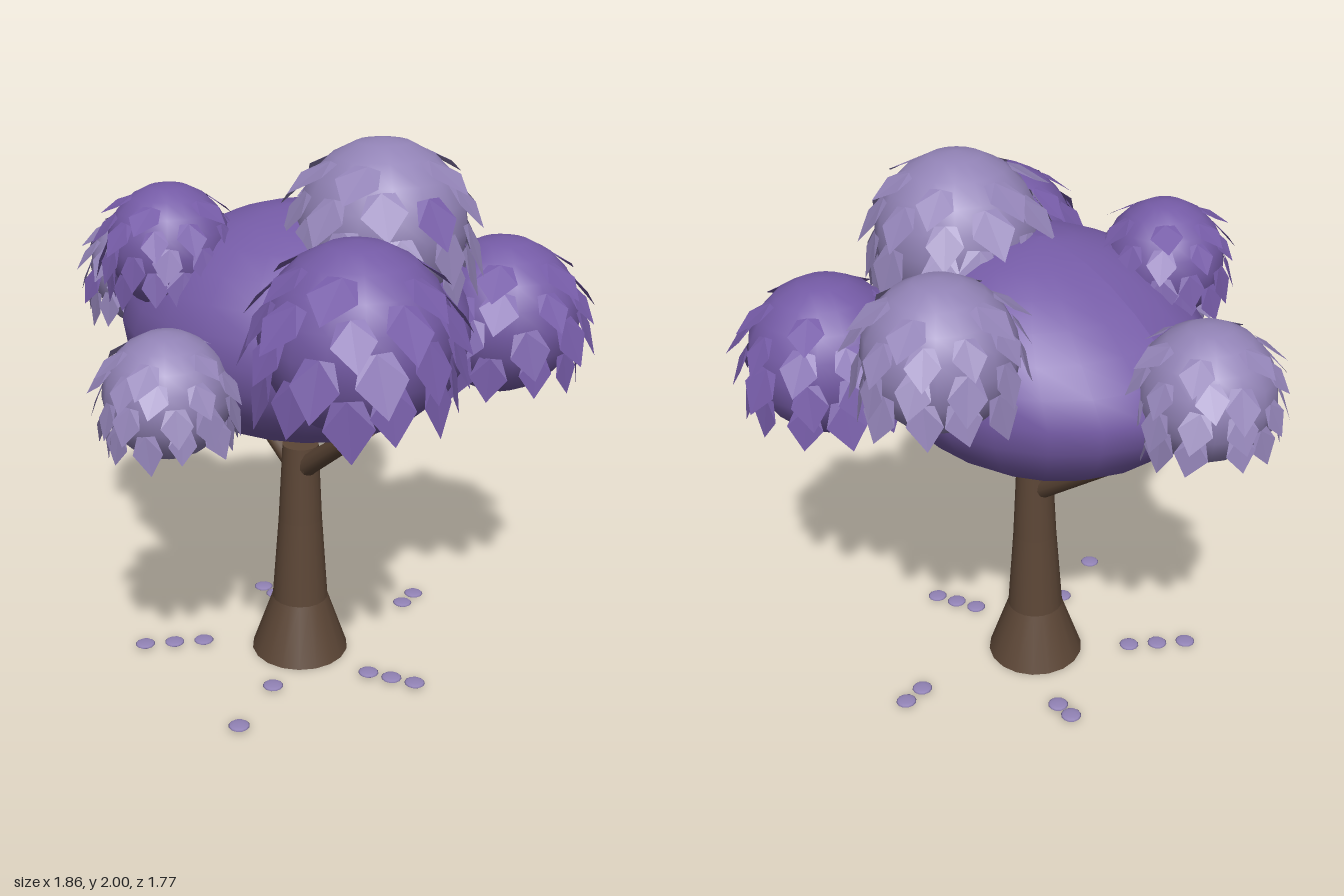
import * as THREE from 'three';

const mat = (name, color, side = THREE.FrontSide) => {
  const m = new THREE.MeshStandardMaterial({ color, side });
  m.name = name;
  return m;
};

// small seeded random generator, -1..1
function seeded(seed) {
  let s = seed * 7919 + 13;
  return () => {
    s = (s * 16807) % 2147483647;
    return (s / 2147483647) * 2 - 1;
  };
}

// Pushes one folded, pointed petal, rooted on a sphere at polar angle theta
function addPetal(out, r, theta, phi, flare, twist, scale) {
  const n = new THREE.Vector3().setFromSphericalCoords(1, theta, phi);
  const down = new THREE.Vector3().setFromSphericalCoords(1, theta + Math.PI / 2, phi);
  const dir = down.applyAxisAngle(n, twist).addScaledVector(n, flare).normalize();
  const across = new THREE.Vector3().crossVectors(dir, n).normalize();
  const lift = new THREE.Vector3().crossVectors(across, dir).normalize();
  const len = 0.58 * r * scale;
  const point = (u, v, h) => n.clone().multiplyScalar(0.98 * r)
    .addScaledVector(across, u * r * scale)
    .addScaledVector(dir, v * len)
    .addScaledVector(lift, h * r);
  const root = point(0, 0, 0.02);
  const tip = point(0, 1, -0.04);
  const rim = [point(-0.14, 0, 0), point(-0.24, 0.45, 0), tip, point(0.24, 0.45, 0), point(0.14, 0, 0)];
  for (let i = 0; i < rim.length - 1; i++) {
    for (const p of [root, rim[i], rim[i + 1]]) out.push(p.x, p.y, p.z);
  }
}

function petalMesh(positions, material, name) {
  const geo = new THREE.BufferGeometry();
  geo.setAttribute('position', new THREE.Float32BufferAttribute(positions, 3));
  geo.computeVertexNormals();
  const mesh = new THREE.Mesh(geo, material);
  mesh.name = name;
  return mesh;
}

// Petal rows: polar angle in degrees, count, outward flare
const ROWS = [[40, 6, 0.2], [61, 10, 0.24], [84, 11, 0.34], [106, 12, 0.58]];

// Round blossom cluster with drooping petals; accent = [row, index] of an odd-coloured petal
function blossom(r, ballMat, petalMat, seed, accentMat, accent) {
  const group = new THREE.Group();
  const rnd = seeded(seed);
  const ball = new THREE.Mesh(new THREE.SphereGeometry(r, 16, 10), ballMat);
  ball.name = 'blossomBall';
  group.add(ball);

  const main = [], odd = [];
  ROWS.forEach(([deg, count, flare], row) => {
    for (let i = 0; i < count; i++) {
      const phase = row % 2 ? 0 : 0.5;
      const phi = ((i + phase + rnd() * 0.15) / count) * Math.PI * 2;
      const theta = THREE.MathUtils.degToRad(deg + rnd() * 5);
      const isOdd = accent && row === accent[0] && i === accent[1];
      addPetal(isOdd ? odd : main, r, theta, phi, flare + rnd() * 0.08, rnd() * 0.2, 1 + rnd() * 0.1);
    }
  });
  group.add(petalMesh(main, petalMat, 'petals'));
  if (accent) group.add(petalMesh(odd, accentMat, 'accentPetal'));
  return group;
}

// Tapered branch between two points, with a rounded root
function branch(a, b, r0, r1, material) {
  const group = new THREE.Group();
  const from = new THREE.Vector3(...a), to = new THREE.Vector3(...b);
  const dir = to.clone().sub(from);
  const limb = new THREE.Mesh(new THREE.CylinderGeometry(r1, r0, dir.length(), 10), material);
  limb.position.copy(from).add(to).multiplyScalar(0.5);
  limb.quaternion.setFromUnitVectors(new THREE.Vector3(0, 1, 0), dir.clone().normalize());
  limb.name = 'limb';
  const root = new THREE.Mesh(new THREE.SphereGeometry(r0, 10, 8), material);
  root.position.copy(from);
  root.name = 'limbRoot';
  group.add(limb, root);
  return group;
}

// Ellipsoid whose upper right shoulder is drawn in
function canopyGeometry() {
  const geo = new THREE.SphereGeometry(1, 22, 14);
  const p = geo.attributes.position;
  for (let i = 0; i < p.count; i++) {
    const x = p.getX(i), y = p.getY(i);
    if (x < 0 && y > 0) p.setX(i, x * (1 - 0.3 * y));
  }
  geo.scale(0.655, 0.41, 0.555);
  geo.computeVertexNormals();
  return geo;
}

export function createModel() {
  const tree = new THREE.Group();
  tree.name = 'blossomTree';
  const bark = mat('bark brown', 0x5c4636);
  const violet = mat('violet', 0x755ba6);
  const lilac = mat('lilac', 0x9283b6);
  const violetPetal = mat('violet petal', 0x755ba6, THREE.DoubleSide);
  const lilacPetal = mat('lilac petal', 0x9283b6, THREE.DoubleSide);

  const add = (obj, name, x = 0, y = 0, z = 0) => {
    obj.name = name;
    obj.position.set(x, y, z);
    tree.add(obj);
  };

  // Trunk: flared foot, tapering shaft, closed ends
  const segments = [[0.005, 0.184, 0.23, 0.106], [0.23, 0.106, 0.56, 0.082], [0.56, 0.082, 0.86, 0.067]];
  const trunk = new THREE.Group();
  segments.forEach(([y0, r0, y1, r1], i) => {
    const part = new THREE.Mesh(new THREE.CylinderGeometry(r1, r0, y1 - y0, 18, 1, i === 1), bark);
    part.position.y = (y0 + y1) / 2;
    part.name = ['trunkFoot', 'trunkShaft', 'trunkTop'][i];
    trunk.add(part);
  });
  add(trunk, 'trunk', 0.034, 0, -0.015);

  // Branches reaching into the canopy
  add(branch([0.08, 0.79, 0], [0.42, 1.06, 0.085], 0.04, 0.032, bark), 'leftBranch');
  add(branch([-0.01, 0.775, -0.02], [-0.39, 1.06, -0.06], 0.038, 0.03, bark), 'rightBranch');

  // Main canopy
  add(new THREE.Mesh(canopyGeometry(), violet), 'canopy', 0.015, 1.345, 0);

  // Blossom clusters: name, x, y, z, radius, lilac?, accent petal
  const clusters = [
    ['topBlossom', 0.32, 1.71, -0.09, 0.29, true, [1, 2]],
    ['rightBlossom', -0.67, 1.41, 0.04, 0.23, true, [2, 10]],
    ['frontRightBlossom', -0.225, 1.635, 0.36, 0.21, false],
    ['frontLeftBlossom', 0.57, 1.49, 0.35, 0.3, false],
    ['frontBlossom', 0.04, 1.25, 0.64, 0.21, true],
    ['backBlossom', -0.1, 1.57, -0.57, 0.25, true],
    ['backLeftBlossom', 0.525, 1.34, -0.53, 0.28, false],
  ];
  clusters.forEach(([name, x, y, z, r, light, accent], i) => {
    const group = light
      ? blossom(r, lilac, lilacPetal, i + 1, violetPetal, accent)
      : blossom(r, violet, violetPetal, i + 1);
    add(group, name, x, y, z);
  });

  // Fallen petals on the ground
  const fallen = [
    [-0.4, 0.4], [-0.325, 0.315], [-0.25, 0.23], [-0.355, -0.23], [-0.28, -0.22],
    [0.15, -0.6], [0.16, -0.51], [0.37, -0.02], [0.455, -0.05], [0.54, -0.08],
    [0.16, 0.28], [0.235, 0.54],
  ];
  const fallenGeo = new THREE.SphereGeometry(0.038, 12, 6).scale(1, 0.2, 1);
  fallen.forEach(([x, z], i) => add(new THREE.Mesh(fallenGeo, lilac), `fallenPetal${i + 1}`, x, 0.019, z));

  return tree;
}
